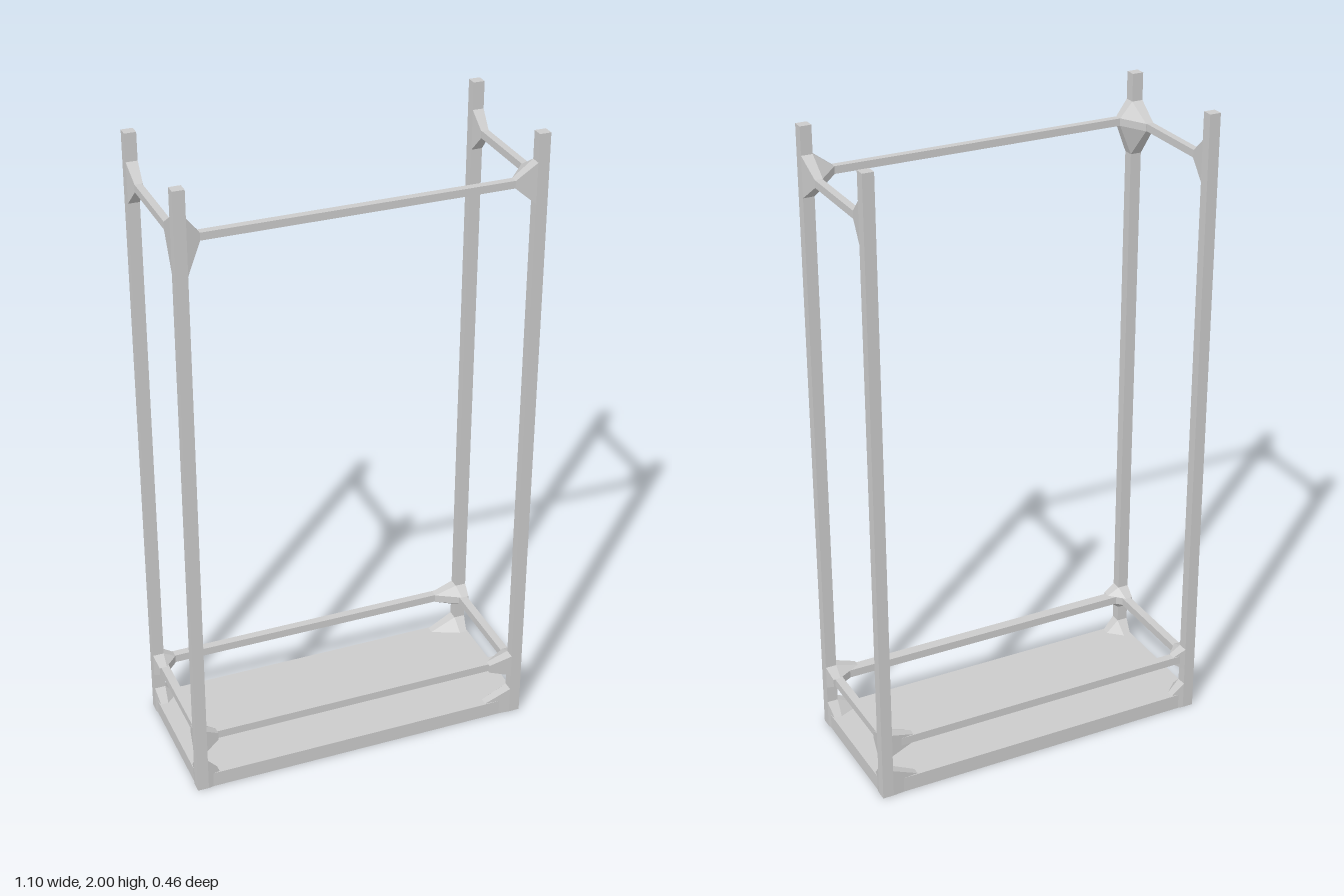
import * as THREE from 'three';
import { ConvexGeometry } from 'three/addons/geometries/ConvexGeometry.js';

const material = new THREE.MeshStandardMaterial({ color: 0xcccccc, flatShading: true });

export function createModel() {
  const group = new THREE.Group();
  const add = (name, geometry) => {
    const mesh = new THREE.Mesh(geometry, material);
    mesh.name = name;
    group.add(mesh);
    return mesh;
  };
  // Box given by its lower and upper limits on each axis
  const bar = (name, [x0, x1], [y0, y1], [z0, z1]) =>
    add(name, new THREE.BoxGeometry(x1 - x0, y1 - y0, z1 - z0))
      .position.set((x0 + x1) / 2, (y0 + y1) / 2, (z0 + z1) / 2);
  // The eight corners of a box, as hull points
  const corners = (xs, ys, zs) =>
    xs.flatMap(x => ys.flatMap(y => zs.map(z => new THREE.Vector3(x, y, z))));

  const topY = [1.845, 1.868];
  const lowY = [0.172, 0.198];
  const slabTop = 0.05;

  // Base slab
  bar('base', [-0.546, 0.546], [0, slabTop], [-0.228, 0.228]);

  // Top rails: front and both sides, the back stays open
  bar('topFrontRail', [-0.53, 0.53], topY, [0.2, 0.223]);
  // Lower rails all round
  bar('lowerFrontRail', [-0.53, 0.53], lowY, [0.18, 0.215]);
  bar('lowerBackRail', [-0.53, 0.53], lowY, [-0.228, -0.202]);

  for (const sx of [-1, 1]) {
    const side = sx > 0 ? 'left' : 'right';
    const span = (a, b, s) => (s > 0 ? [a, b] : [-b, -a]);
    bar(side + 'TopSideRail', span(0.52, 0.542, sx), topY, [-0.213, 0.213]);
    bar(side + 'LowerSideRail', span(0.51, 0.536, sx), lowY, [-0.213, 0.213]);

    for (const sz of [-1, 1]) {
      const end = side + (sz > 0 ? 'Front' : 'Back');
      const px = span(0.514, 0.549, sx);
      const pz = span(0.198, 0.231, sz);
      bar(end + 'Post', px, [0, 2], pz);

      // Flared joint: hull of a post section and the rail ends meeting it
      const joint = (name, postY, railY, reachX, reachZ) => {
        const points = corners(px, postY, pz);
        if (reachX) points.push(...corners([sx * reachX, sx * 0.53], railY, span(0.2, 0.224, sz)));
        if (reachZ) points.push(...corners(span(0.518, 0.542, sx), railY, [sz * reachZ, sz * 0.21]));
        add(end + name, new ConvexGeometry(points));
      };
      const low = sx < 0 && sz > 0 ? 1.75 : 1.79;
      joint('TopJoint', [low, 1.915], topY, sz > 0 ? (sx < 0 ? 0.475 : 0.45) : 0, sz > 0 ? 0.12 : 0.145);
      joint('LowerJoint', [0.145, 0.22], lowY, sx < 0 ? 0.475 : 0.44, 0.155);
      joint('BaseJoint', [0, 0.09], [0, slabTop], sx < 0 ? 0.475 : 0.43, 0.16);
    }
  }
  return group;
}
